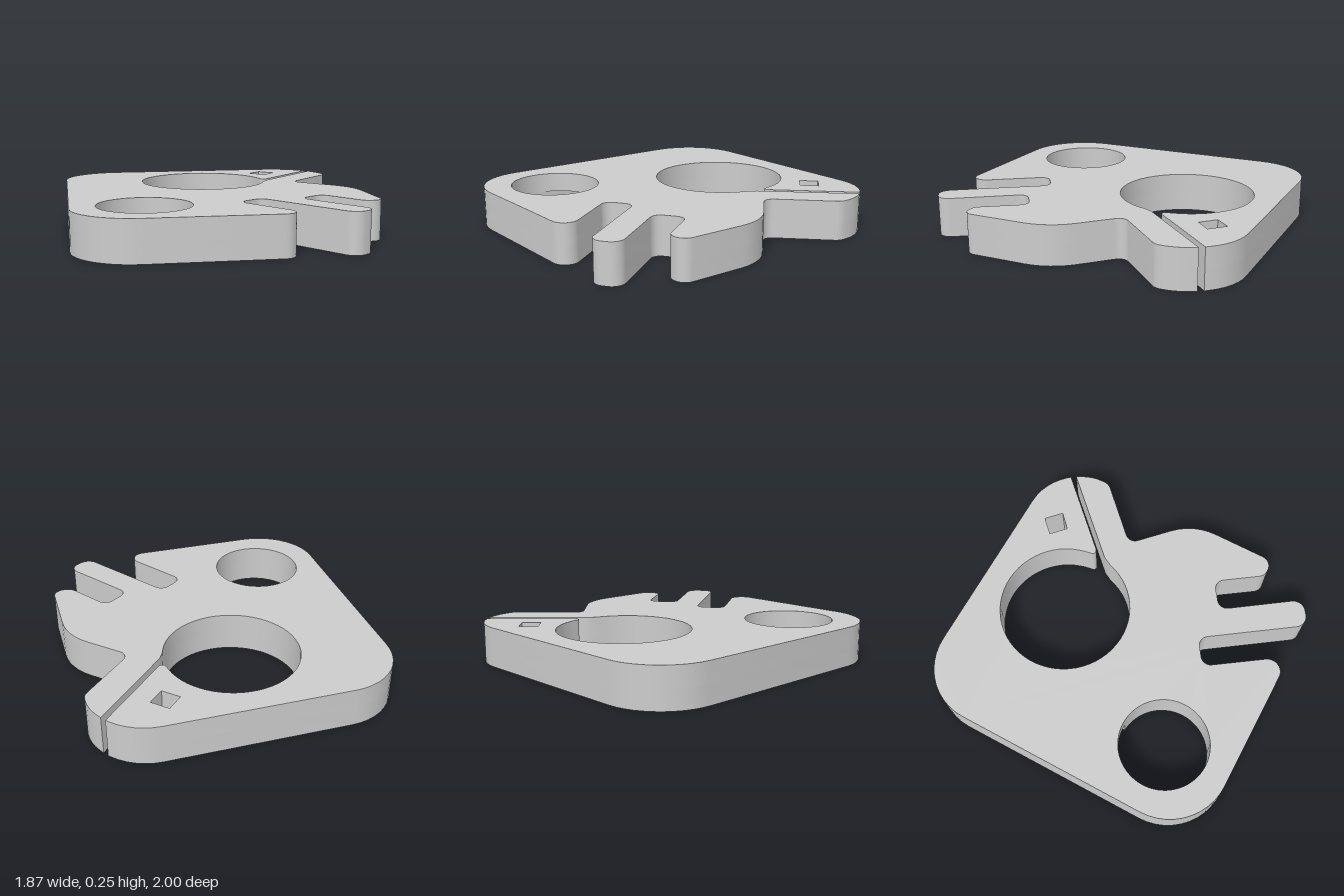
import * as THREE from 'three';
import { toCreasedNormals } from 'three/addons/utils/BufferGeometryUtils.js';

const HEIGHT = 0.25, GROOVE = 0.125;

// Polygon of [x, z, radius] corners turned into points, each corner rounded by its radius
function roundedPoints(corners) {
  const points = [];
  corners.forEach(([x, z, r], i) => {
    const p = new THREE.Vector2(x, z);
    if (!r) { points.push(p); return; }
    const n = corners.length;
    const a = new THREE.Vector2(...corners[(i + n - 1) % n]).sub(p).normalize();
    const b = new THREE.Vector2(...corners[(i + 1) % n]).sub(p).normalize();
    const half = Math.acos(a.dot(b)) / 2;
    const len = r / Math.tan(half);
    const c = a.clone().add(b).normalize().multiplyScalar(r / Math.sin(half)).add(p);
    const start = a.multiplyScalar(len).add(p).sub(c).angle();
    const end = b.multiplyScalar(len).add(p).sub(c).angle();
    const turn = Math.atan2(Math.sin(end - start), Math.cos(end - start));
    const steps = Math.max(4, Math.ceil(Math.abs(turn) / 0.15));
    for (let k = 0; k <= steps; k++) {
      const t = start + turn * k / steps;
      points.push(new THREE.Vector2(c.x + r * Math.cos(t), c.y + r * Math.sin(t)));
    }
  });
  return points;
}

function plateOutline() {
  // Large bore, open to the slit
  const bore = [];
  for (let i = 0; i <= 56; i++) {
    const t = 0.27 + (Math.PI * 2 - 0.45) * i / 56;
    bore.push([0.42 * Math.cos(t), -0.42 + 0.42 * Math.sin(t), 0]);
  }
  return roundedPoints([
    [-0.935, -1, 0.38], [-0.935, 1, 0.38],
    // front fingers and slots
    [0.38, 1, 0.08],
    [0.064, 0.543, 0.06], [0.221, 0.433, 0.06],
    [0.63, 1.019, 0.075], [0.778, 0.916, 0.075],
    [0.461, 0.466, 0.06], [0.625, 0.35, 0.06],
    [0.816, 0.625, 0.07], [0.935, 0.625, 0.07],
    // side notch
    [0.935, 0.045, 0.38], [0.605, -0.272, 0.06],
    [0.935, -0.605, 0.08], [0.935, -0.73, 0.3], [0.88, -0.83, 0],
    // slit and bore
    [0.435, -0.365, 0.1], ...bore, [0.427, -0.408, 0.025],
    [0.86, -0.86, 0], [0.74, -1, 0.36],
  ]);
}

// Extrudes an x-z shape between two heights
function layer(name, shape, y0, y1, material) {
  const geo = new THREE.ExtrudeGeometry(shape, { depth: y1 - y0, bevelEnabled: false, curveSegments: 48 });
  geo.rotateX(Math.PI / 2);
  geo.translate(0, y1, 0);
  const mesh = new THREE.Mesh(toCreasedNormals(geo, 0.5), material);
  mesh.name = name;
  return mesh;
}

export function createModel() {
  const material = new THREE.MeshStandardMaterial({ color: 0xcccccc });
  const group = new THREE.Group();
  group.name = 'slottedPlate';

  const outline = plateOutline();
  const diamond = new THREE.Path([[0.5, -0.858], [0.59, -0.772], [0.504, -0.688], [0.416, -0.772]]
    .map(([x, z]) => new THREE.Vector2(x, z)));

  // Plain round hole through the upper layer
  const roundHole = new THREE.Path();
  roundHole.absarc(-0.5, 0.56, 0.283, 0, Math.PI * 2, false);

  // Underside groove running from the round hole towards the back
  const grooveHole = new THREE.Path();
  grooveHole.absarc(-0.5, 0.56, 0.283, -1.5, Math.PI + 0.14, false);
  grooveHole.absarc(-0.63, -0.66, 0.15, Math.PI, Math.PI * 2, false);

  const upper = new THREE.Shape(outline);
  upper.holes.push(diamond, roundHole);
  const lower = new THREE.Shape(outline);
  lower.holes.push(diamond, grooveHole);

  group.add(layer('upperPlate', upper, GROOVE, HEIGHT, material));
  group.add(layer('groovedLowerPlate', lower, 0, GROOVE, material));
  return group;
}
